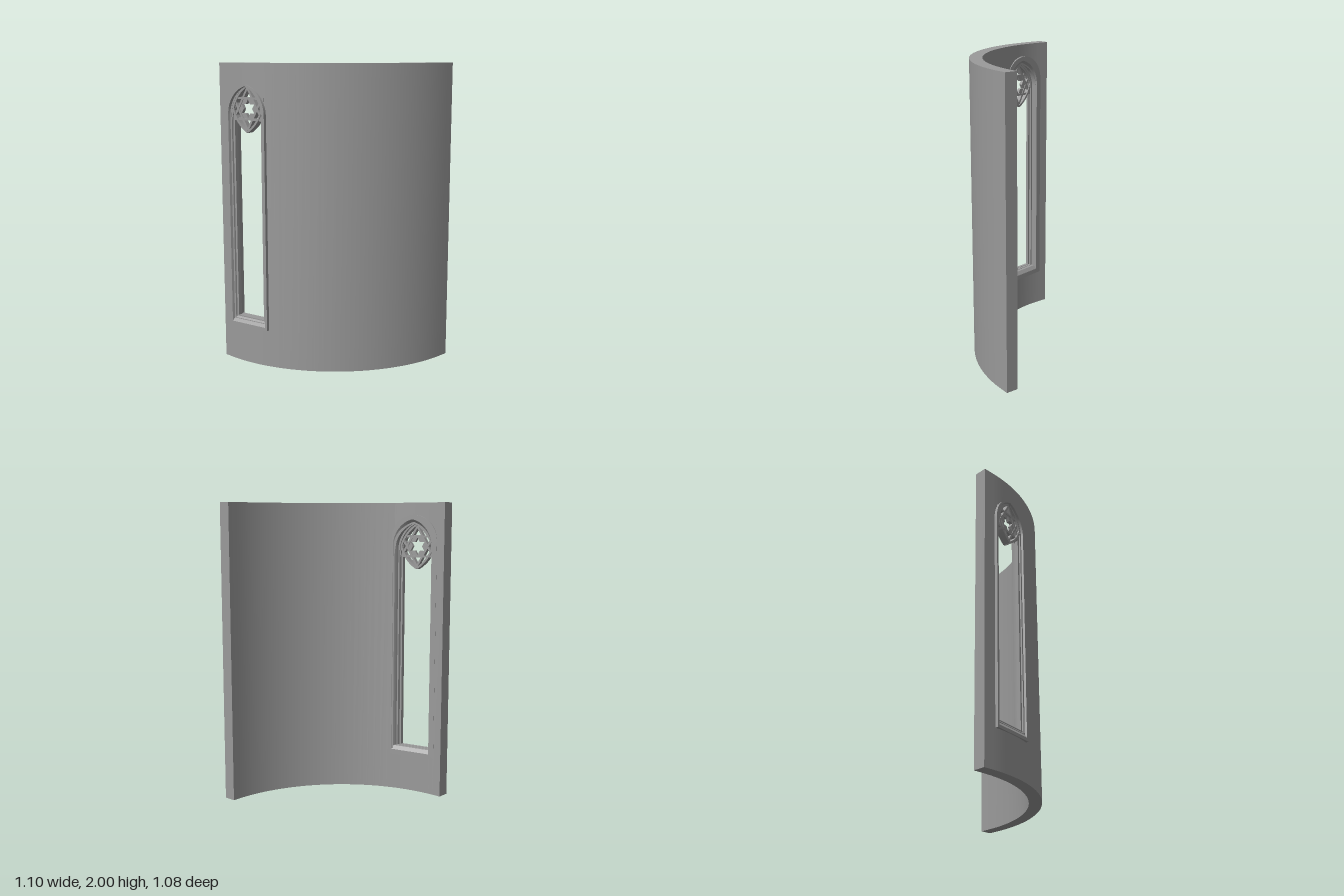
import * as THREE from 'three';
import { toCreasedNormals } from 'three/addons/utils/BufferGeometryUtils.js';

const CX = 0.49, CZ = -0.48, R_OUT = 1.02, R_IN = 0.937, HEIGHT = 2;
const WINDOW_ANGLE = THREE.MathUtils.degToRad(10);
const mat = new THREE.MeshStandardMaterial({ color: 0x9a9a9a });
const matDouble = new THREE.MeshStandardMaterial({ color: 0x9a9a9a, side: THREE.DoubleSide });

// Height of a pointed arch at offset u from its middle
function archY(u, w, spring, apex) {
  const h = apex - spring, R = (w * w + h * h) / (2 * w);
  const d = Math.abs(u) + R - w;
  return spring + Math.sqrt(Math.max(0, R * R - d * d));
}

// Sideways shift of the opening at a given depth: it is cut straight along x
const shift = r => (1.015 - r) * Math.tan(WINDOW_ANGLE);

function mesh(name, geometry, material = mat) {
  const m = new THREE.Mesh(geometry, material);
  m.name = name;
  return m;
}

// Collects quads (corners counter-clockwise) into a creased geometry
function quadBuilder() {
  const pos = [];
  return {
    quad: (a, b, c, d) => [a, b, c, a, c, d].forEach(p => pos.push(...p)),
    build: crease => {
      const g = new THREE.BufferGeometry();
      g.setAttribute('position', new THREE.Float32BufferAttribute(pos, 3));
      return toCreasedNormals(g, crease);
    },
  };
}

// Quarter-round wall made of upright columns, leaving the window hole free
function makeWall() {
  const q = quadBuilder(), hole = THREE.MathUtils.degToRad(8.6);
  const a0 = WINDOW_ANGLE - hole, a1 = WINDOW_ANGLE + hole, end = Math.PI / 2;
  const on = (r, a) => [CX - r * Math.cos(a), CZ + r * Math.sin(a)];
  // The inner edge of the hole follows the shifted opening
  const inner = a => on(R_IN, a + shift(R_IN) * Math.max(0, 1 - Math.abs(a - WINDOW_ANGLE) / 0.6));
  const cols = [{ o: [CX - R_OUT, -0.543], i: [CX - R_IN, -0.543] }];
  const add = (a, open = false) => cols.push({ o: on(R_OUT, a), i: inner(a), a, open });
  cols.push({ o: on(R_OUT, 0), i: on(R_IN, 0) });
  for (let k = 0; k < 24; k++) add(a0 + (a1 - a0) * k / 24, true);
  for (let k = 0; k <= 24; k++) add(a1 + (end - a1) * k / 24);
  cols.push({ o: [0.547, CZ + R_OUT], i: [0.547, CZ + R_IN] });

  const P = ([x, z], y) => [x, y, z];
  const top = c => archY((c.a - WINDOW_ANGLE) / hole * 0.15, 0.15, 1.67, 1.86);
  for (let k = 0; k + 1 < cols.length; k++) {
    const c = cols[k], d = cols[k + 1];
    const spans = c.open
      ? [[0, 0, 0.262, 0.262], [top(c), top(d), HEIGHT, HEIGHT]]
      : [[0, 0, HEIGHT, HEIGHT]];
    for (const [cl, dl, ch, dh] of spans) {
      q.quad(P(c.o, cl), P(d.o, dl), P(d.o, dh), P(c.o, ch));
      q.quad(P(d.i, dl), P(c.i, cl), P(c.i, ch), P(d.i, dh));
    }
    q.quad(P(c.o, HEIGHT), P(d.o, HEIGHT), P(d.i, HEIGHT), P(c.i, HEIGHT));
    q.quad(P(c.i, 0), P(d.i, 0), P(d.o, 0), P(c.o, 0));
  }
  const f = cols[0], l = cols[cols.length - 1];
  q.quad(P(f.i, 0), P(f.o, 0), P(f.o, HEIGHT), P(f.i, HEIGHT));
  q.quad(P(l.o, 0), P(l.i, 0), P(l.i, HEIGHT), P(l.o, HEIGHT));
  return mesh('curvedWall', q.build(0.4));
}

// Stepped arched frame: closed arch outlines joined from the inside outward
function makeFrame() {
  // depth, half width, sill, spring, apex
  const rings = [
    [0.960, 0.172, 0.250, 1.745, 1.918],
    [0.921, 0.172, 0.250, 1.745, 1.918],
    [0.921, 0.145, 0.283, 1.710, 1.890],
    [0.938, 0.135, 0.308, 1.690, 1.872],
    [0.962, 0.132, 0.308, 1.685, 1.867],
    [0.962, 0.122, 0.310, 1.670, 1.862],
    [0.980, 0.120, 0.310, 1.670, 1.860],
    [0.980, 0.108, 0.312, 1.660, 1.850],
    [1.004, 0.108, 0.312, 1.660, 1.850],
    [1.004, 0.122, 0.305, 1.662, 1.850],
    [1.014, 0.124, 0.295, 1.662, 1.850],
    [1.014, 0.135, 0.290, 1.665, 1.851],
    [1.028, 0.140, 0.270, 1.665, 1.853],
    [1.028, 0.155, 0.250, 1.670, 1.865],
    [0.995, 0.155, 0.250, 1.670, 1.865],
  ];
  const N = 28;
  const outline = ([r, w, sill, spring, apex]) => {
    const s = w > 0.15 ? shift(r) / 3 : shift(r);
    const pts = [[s - w, sill, r]];
    for (let k = 0; k <= N; k++) {
      const u = -w * Math.cos(Math.PI * k / N);
      pts.push([s + u, archY(u, w, spring, apex), r]);
    }
    pts.push([s + w, sill, r], [s - w, sill, r]);
    return pts;
  };
  const q = quadBuilder(), loops = rings.map(outline);
  for (let k = 0; k + 1 < loops.length; k++) {
    const A = loops[k], B = loops[k + 1];
    for (let j = 0; j + 1 < A.length; j++) q.quad(A[j], A[j + 1], B[j + 1], B[j]);
  }
  return mesh('windowFrame', q.build(0.5), matDouble);
}

// Six-pointed star tracery in the head of the window
function makeTracery() {
  const g = new THREE.Group(), R = 0.135, ribR = 0.148, t = 0.007, depth = 0.99;
  const barLength = R * Math.sqrt(3), ribSide = ribR * Math.sqrt(3);
  g.name = 'tracery';
  const extrude = (shape, d) => new THREE.ExtrudeGeometry(shape,
    { depth: d, bevelEnabled: false, curveSegments: 14 }).translate(0, 0, -d / 2);

  // Straight bars of the two crossed triangles
  for (let k = 0; k < 6; k++) {
    const bar = mesh('starBar', new THREE.BoxGeometry(barLength, 2 * t, 0.034).translate(0, R / 2, 0));
    bar.rotation.z = k * Math.PI / 3;
    g.add(bar);
  }

  // Curved ribs forming the points at top and bottom
  const rib = new THREE.Shape();
  rib.absarc(0, 0, ribSide + t, 0, Math.PI / 3, false);
  rib.absarc(0, 0, ribSide - t, Math.PI / 3, 0, true);
  const ribGeo = toCreasedNormals(extrude(rib, 0.046).translate(-ribSide / 2, -ribR / 2, 0), 0.5);
  for (const turn of [0, 120, 180, 300]) {
    const m = mesh('curvedRib', ribGeo);
    m.rotation.z = THREE.MathUtils.degToRad(turn);
    g.add(m);
  }

  // Central hexagon pierced by a star
  const ring = (n, radius) => Array.from({ length: n }, (_, k) => {
    const a = 2 * Math.PI * k / n, r = radius(k);
    return new THREE.Vector2(Math.sin(a) * r, Math.cos(a) * r);
  });
  const hex = new THREE.Shape(ring(6, () => 0.078).map(p => new THREE.Vector2(p.y, p.x)));
  hex.holes.push(new THREE.Path(ring(12, k => (k % 2 ? 0.034 : 0.06))));
  g.add(mesh('starRosette', extrude(hex, 0.024)));

  g.position.set(shift(depth), 1.708, depth);
  return g;
}

export function createModel() {
  const model = new THREE.Group();
  model.name = 'wallWithWindow';
  const win = new THREE.Group();
  win.name = 'window';
  win.add(makeFrame(), makeTracery());
  win.position.set(CX, 0, CZ);
  win.rotation.y = WINDOW_ANGLE - Math.PI / 2;
  model.add(makeWall(), win);
  return model;
}
